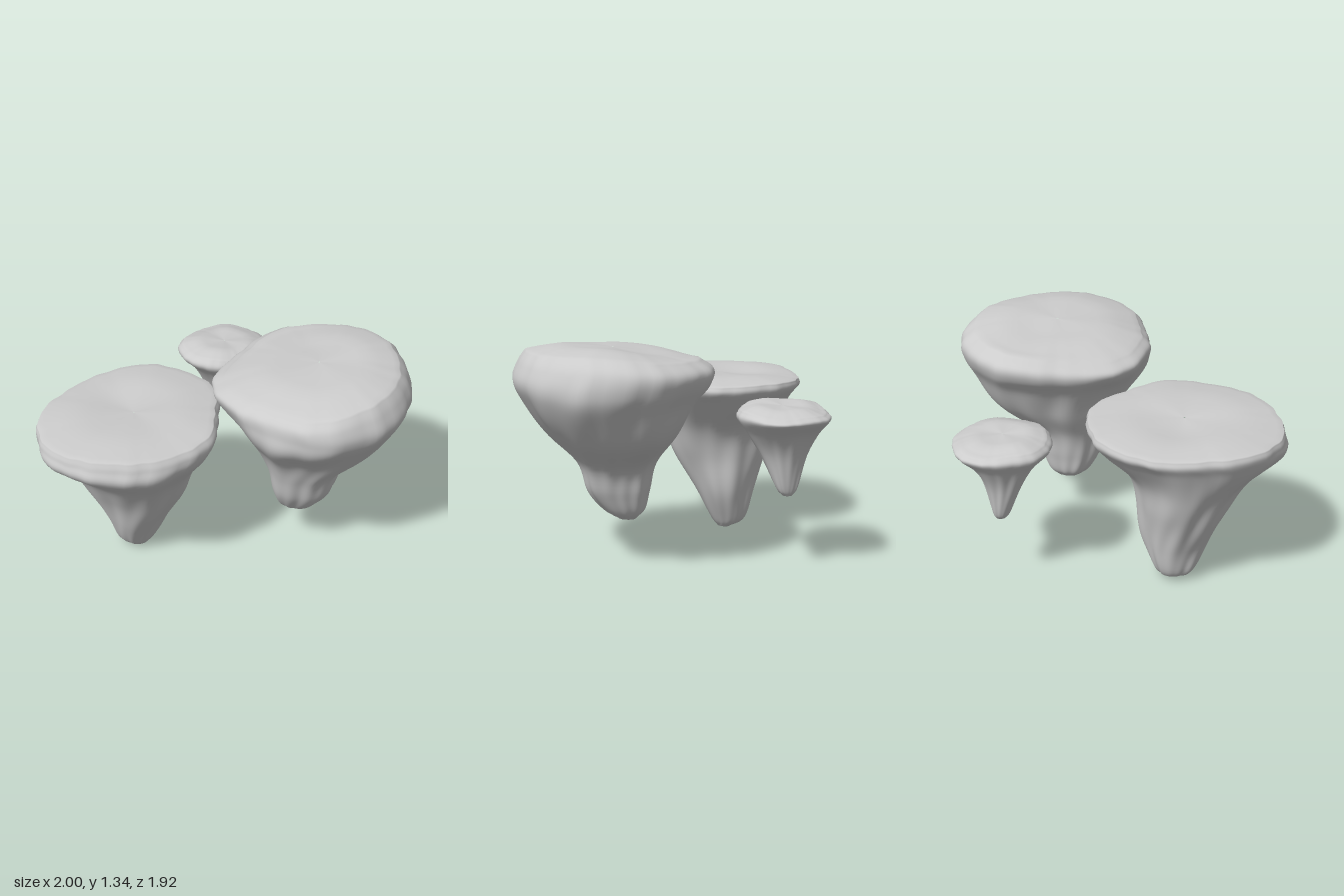
import * as THREE from 'three';

const SEG = 96, SUB = 6;

// Smooth closed interpolation of rim radii given at equal angles, starting at +x and turning to +z
function rimRadius(radii, angle) {
  const n = radii.length, f = (angle / (Math.PI * 2)) * n, i = Math.floor(f), u = f - i;
  const [a, b, c, d] = [-1, 0, 1, 2].map((k) => radii[(i + k + n) % n]);
  return b + 0.5 * u * (c - a + u * (2 * a - 5 * b + 4 * c - d + u * (3 * (b - c) + d - a)));
}

// Vertical rock ridges that wander and swell with height
function ridges(a, y, s) {
  return 0.025 + 0.025 * Math.sin(5 * a + s * 2 + 2 * y) + 0.018 * Math.sin(9 * a + s * 4 - 3 * y)
    + 0.02 * Math.sin(3 * a + 14 * y + s) + 0.012 * Math.sin(13 * a + 9 * y + s * 5);
}

// Small chips along the rim
function chips(a, s) {
  return 0.006 * Math.sin(17 * a + s * 3) + 0.005 * Math.sin(26 * a + s);
}

// levels run from tip to rim, each [y, x min, x max, z min, z max]
// tilt is the rise of the top along +x and +z; dip is the [x, z, depth] of its hollow
function islandGeometry({ levels, radii, seed, crown, tilt, dip }) {
  const low = new THREE.CatmullRomCurve3(levels.map(([y, x, , z]) => new THREE.Vector3(x, y, z)), false, 'catmullrom');
  const high = new THREE.CatmullRomCurve3(levels.map(([y, , x, , z]) => new THREE.Vector3(x, y, z)), false, 'catmullrom');
  const rings = [];

  // Closed tip, rock sides, then a gently domed top
  for (const k of [0.01, 0.5]) rings.push({ t: 0, k, dome: 0 });
  const count = (levels.length - 1) * SUB;
  for (let j = 0; j <= count; j++) rings.push({ t: j / count, k: 1, dome: 0 });
  for (const k of [0.93, 0.85, 0.75, 0.62, 0.48, 0.34, 0.2, 0.08, 0.01]) rings.push({ t: 1, k, dome: 1 - k * k });

  const pos = [], index = [];
  rings.forEach(({ t, k, dome }, j) => {
    const lo = low.getPoint(t), hi = high.getPoint(t);
    const rimMix = THREE.MathUtils.smoothstep(t, 0.35, 0.95);
    const tiltMix = THREE.MathUtils.smoothstep(t, 0.7, 1);
    for (let i = 0; i < SEG; i++) {
      const a = (i / SEG) * Math.PI * 2, c = Math.cos(a), s = Math.sin(a);
      const outline = THREE.MathUtils.lerp(1, rimRadius(radii, a) + chips(a, seed), rimMix);
      const r = k * (outline + ridges(a, lo.y, seed) * (1 - 0.9 * rimMix));
      const x = (lo.x + hi.x) / 2 + (r * c * (hi.x - lo.x)) / 2;
      const z = (lo.z + hi.z) / 2 + (r * s * (hi.z - lo.z)) / 2;
      const hollow = dip[2] * Math.exp(-((x - dip[0]) ** 2 + (z - dip[1]) ** 2) / 0.04);
      const lean = tiltMix * (r * (tilt[0] * c + tilt[1] * s) + 0.006 * k * Math.sin(4 * a + seed * 3));
      pos.push(x, lo.y + lean + crown * Math.min(1, dome * 1.6) - (dome > 0 ? hollow : 0), z);
      if (j < rings.length - 1) {
        const n = (i + 1) % SEG, p = j * SEG, q = p + SEG;
        index.push(p + i, q + i, p + n, p + n, q + i, q + n);
      }
    }
  });
  const geo = new THREE.BufferGeometry();
  geo.setAttribute('position', new THREE.Float32BufferAttribute(pos, 3));
  geo.setIndex(index);
  geo.computeVertexNormals();
  return geo;
}

export function createModel() {
  const group = new THREE.Group();
  group.name = 'floatingIslands';
  const rock = new THREE.MeshStandardMaterial({ color: 0xcccccc });
  const addIsland = (name, shape) => {
    const mesh = new THREE.Mesh(islandGeometry(shape), rock);
    mesh.name = name;
    group.add(mesh);
  };

  addIsland('frontIsland', {
    seed: 1, crown: 0.025, tilt: [0.01, 0], dip: [-0.6, 0.33, 0.025],
    radii: [1, 0.965, 0.96, 0.985, 1.06, 1.07, 0.98, 0.99, 1.02, 1, 1.02, 0.91],
    levels: [
      [0, -0.54, -0.46, 0.28, 0.38],
      [0.06, -0.64, -0.42, 0.22, 0.45],
      [0.25, -0.69, -0.32, 0.15, 0.54],
      [0.5, -0.79, -0.19, 0.12, 0.64],
      [0.7, -0.86, -0.09, 0.06, 0.76],
      [0.88, -0.95, 0.03, -0.1, 0.95],
      [0.97, -0.995, 0.07, -0.18, 0.95],
      [1.02, -0.985, 0.045, -0.175, 0.935],
    ],
  });

  addIsland('highIsland', {
    seed: 2, crown: 0.045, tilt: [0.03, -0.025], dip: [0.22, -0.45, 0.03],
    radii: [1, 1.05, 1.09, 1, 1.07, 1.12, 1, 1.035, 1.01, 1, 0.965, 0.96],
    levels: [
      [0.275, 0.28, 0.4, -0.28, -0.13],
      [0.33, 0.23, 0.48, -0.33, -0.07],
      [0.45, 0.2, 0.57, -0.375, 0],
      [0.62, 0.165, 0.63, -0.44, 0.05],
      [0.8, 0.07, 0.79, -0.65, 0.13],
      [1, -0.02, 0.94, -0.79, 0.28],
      [1.12, -0.12, 1, -0.85, 0.305],
      [1.21, -0.13, 0.97, -0.855, 0.3],
      [1.275, -0.05, 0.92, -0.77, 0.25],
    ],
  });

  addIsland('smallIsland', {
    seed: 3, crown: 0.035, tilt: [0, 0.012], dip: [-0.5, -0.7, 0.015],
    radii: [1, 0.96, 0.965, 0.99, 1.04, 1.1, 1.01, 1.02, 1.06, 1, 1.06, 1.03],
    levels: [
      [0.46, -0.51, -0.46, -0.73, -0.67],
      [0.51, -0.55, -0.42, -0.75, -0.64],
      [0.7, -0.61, -0.34, -0.79, -0.56],
      [0.83, -0.67, -0.26, -0.86, -0.48],
      [0.925, -0.73, -0.19, -0.955, -0.39],
      [0.97, -0.7, -0.21, -0.92, -0.42],
    ],
  });
  return group;
}
